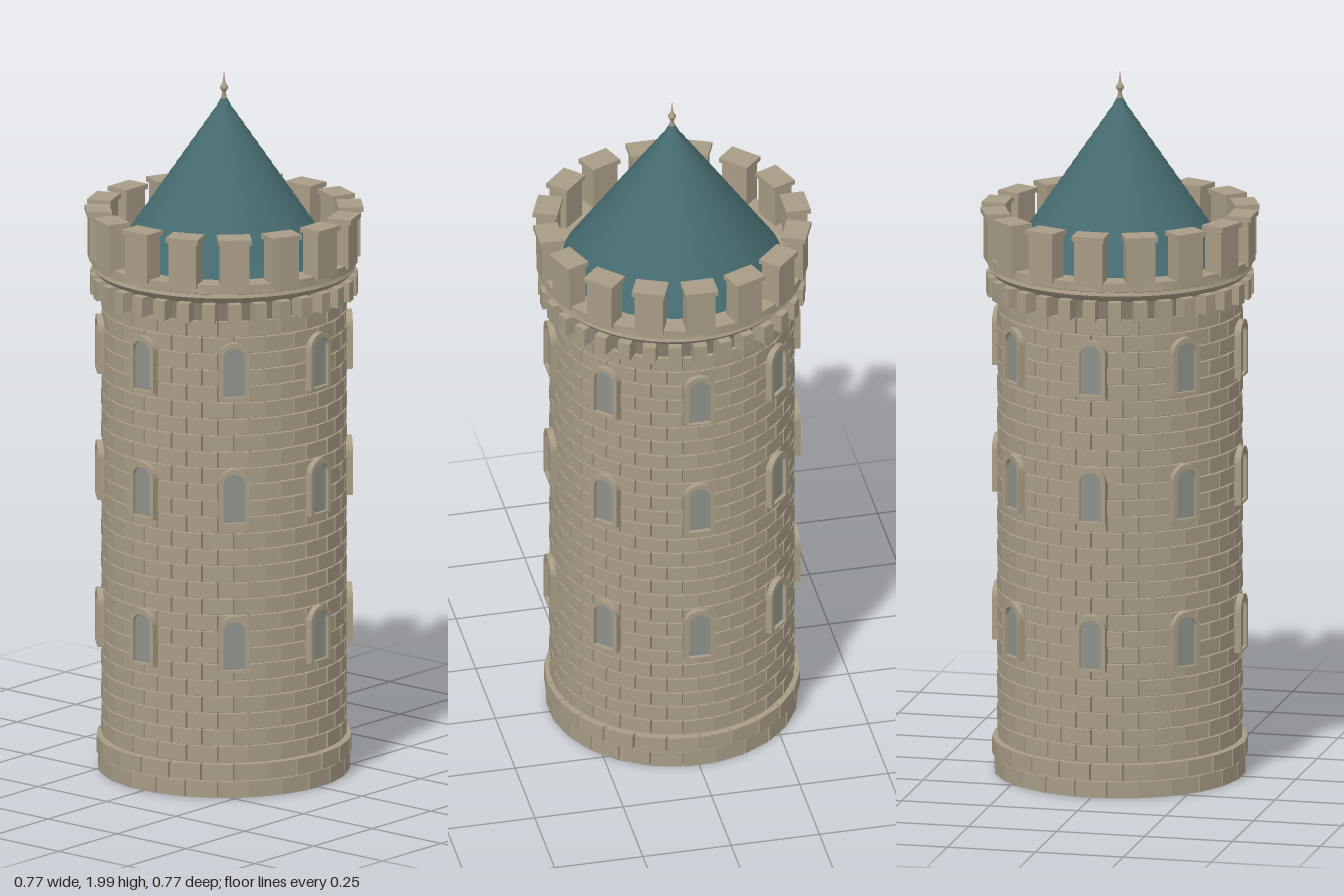
import * as THREE from 'three';
import { mergeGeometries, toCreasedNormals } from 'three/addons/utils/BufferGeometryUtils.js';

const mat = (name, color) => {
  const m = new THREE.MeshStandardMaterial({ color });
  m.name = name;
  return m;
};

// Copies of a geometry (facing +z) turned around the tower axis
function ring(geometry, count, offset = 0) {
  const copies = [];
  for (let i = 0; i < count; i++) {
    copies.push(geometry.clone().rotateY(((i + offset) / count) * Math.PI * 2));
  }
  return mergeGeometries(copies);
}

// Box spanning radii r0..r1 and heights y0..y1, facing +z
const block = (width, r0, r1, y0, y1) =>
  new THREE.BoxGeometry(width, y1 - y0, r1 - r0).translate(0, (y0 + y1) / 2, (r0 + r1) / 2);

// Turned solid from [radius, height] pairs, listed bottom to top
const turned = (pairs, segments) =>
  toCreasedNormals(
    new THREE.LatheGeometry(pairs.map(([r, y]) => new THREE.Vector2(r, y)), segments), 0.5);

// Round-headed window outline with its foot at y = 0
function arch(path, half, foot, top) {
  path.moveTo(-half, foot);
  path.lineTo(half, foot);
  path.lineTo(half, top - half);
  path.absarc(0, top - half, half, 0, Math.PI, false);
  path.lineTo(-half, foot);
  return path;
}

export function createModel() {
  const tower = new THREE.Group();
  tower.name = 'roundTower';
  const stone = mat('stone', 0xa89c86);
  const mortar = mat('mortar', 0x857b69);
  const slate = mat('roofSlate', 0x456a6e);
  const glass = mat('windowPane', 0x8e918a);

  const add = (name, geometry, material) => {
    const mesh = new THREE.Mesh(geometry, material);
    mesh.name = name;
    tower.add(mesh);
  };

  // Mortar core
  add('core', turned([[0, 0], [0.335, 0], [0.335, 0.095], [0.326, 0.1], [0.326, 1.42], [0, 1.42]], 48), mortar);

  // Base courses
  const perRow = 24;
  const baseRows = [0, 1].map((i) =>
    ring(block(0.086, 0.31, 0.346 + i * 0.005, i * 0.05 + 0.001, i * 0.05 + 0.047), perRow, i / 2));
  add('baseStones', mergeGeometries(baseRows), stone);

  // Wall: three floors of nine courses in running bond
  const rows = [];
  const rowHeight = 0.14 / 3;
  for (let i = 0; i < 27; i++) {
    const y = 0.1 + i * rowHeight;
    rows.push(ring(block(0.083, 0.3, 0.337, y + 0.002, y + rowHeight - 0.002), perRow, (i % 2) / 2));
  }
  add('wallStones', mergeGeometries(rows), stone);

  // Eight arched windows on each floor
  const frameShape = arch(new THREE.Shape(), 0.043, 0, 0.16);
  frameShape.holes.push(arch(new THREE.Path(), 0.03, 0.006, 0.146));
  const frame = new THREE.ExtrudeGeometry(frameShape, { depth: 0.034, bevelEnabled: false, curveSegments: 8 })
    .translate(0, 0, 0.32);
  const pane = new THREE.ShapeGeometry(arch(new THREE.Shape(), 0.031, 0.004, 0.147), 8).translate(0, 0, 0.343);
  [0.36, 0.78, 1.2 - 0.06 + 0.0].forEach((y, i) => {
    add('windowFrames' + (i + 1), ring(frame.clone().translate(0, y, 0), 8), stone);
    add('windowPanes' + (i + 1), ring(pane.clone().translate(0, y, 0), 8), glass);
  });

  // Corbels under the parapet
  add('corbels', ring(block(0.036, 0.31, 0.37, 1.36, 1.415), 32), stone);

  // Flared parapet ring and walkway
  add('parapet', turned([
    [0.3, 1.405], [0.335, 1.41], [0.352, 1.418], [0.364, 1.432], [0.36, 1.442],
    [0.368, 1.445], [0.368, 1.47], [0, 1.47],
  ], 48), stone);

  // Merlons with overhanging caps
  add('merlons', ring(block(0.08, 0.32, 0.375, 1.46, 1.59), 16), stone);
  add('merlonCaps', ring(block(0.092, 0.314, 0.383, 1.588, 1.602), 16), stone);

  // Conical roof in overlapping slate tiers
  const tiers = 16;
  const roof = [[0, 1.465]];
  for (let i = 0; i < tiers; i++) {
    const radius = 0.305 * (1 - i / tiers);
    const y = 1.47 + (0.45 * i) / tiers;
    roof.push([radius, y], [Math.max(radius - 0.305 / tiers - 0.003, 0.003), y + 0.45 / tiers]);
  }
  roof.push([0, 1.921]);
  add('roof', turned(roof, 40), slate);

  // Finial
  add('finial', turned([
    [0, 1.905], [0.009, 1.908], [0.005, 1.925], [0.006, 1.93], [0.011, 1.938],
    [0.011, 1.943], [0.006, 1.951], [0.004, 1.955], [0, 1.99],
  ], 12), stone);

  return tower;
}
